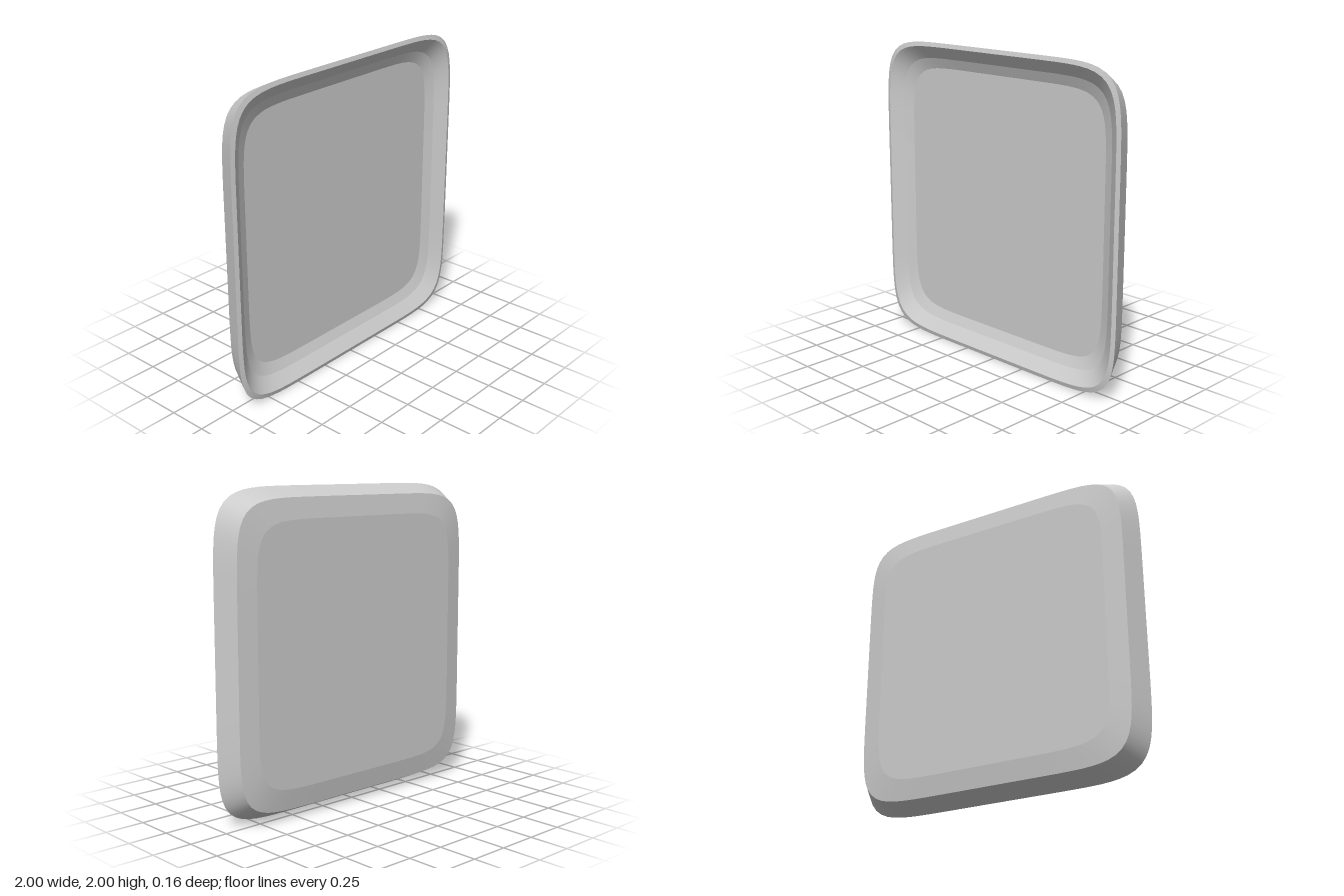
import * as THREE from 'three';

const SEGMENTS = 160;
const POWER = 8; // squareness of the rounded-square outline

// One closed rounded-square ring of points
function ring(half, z) {
  const pts = [];
  for (let i = 0; i < SEGMENTS; i++) {
    const a = (i / SEGMENTS) * Math.PI * 2;
    const c = Math.cos(a), s = Math.sin(a);
    const r = half / Math.pow(Math.abs(c) ** POWER + Math.abs(s) ** POWER, 1 / POWER);
    pts.push(r * c, r * s, z);
  }
  return pts;
}

// Band between two rings, smooth around the outline, crisp at its borders;
// a ring of size 0 closes the band to a flat panel
function band([h0, z0], [h1, z1]) {
  const index = [];
  for (let i = 0; i < SEGMENTS; i++) {
    const j = (i + 1) % SEGMENTS;
    const c = i + SEGMENTS, d = j + SEGMENTS;
    if (h0 > 0) index.push(i, d, j);
    if (h1 > 0) index.push(i, c, d);
  }
  const geo = new THREE.BufferGeometry();
  geo.setAttribute('position', new THREE.Float32BufferAttribute([...ring(h0, z0), ...ring(h1, z1)], 3));
  geo.setIndex(index);
  geo.computeVertexNormals();
  return geo;
}

export function createModel() {
  const group = new THREE.Group();
  group.name = 'tray';
  const grey = new THREE.MeshStandardMaterial({ color: 0xcccccc });
  grey.name = 'light grey';

  // Cross-section from the middle of the floor, over the rim, to the middle of the back
  const profile = [
    [0, -0.005], [0.83, -0.005], [0.895, 0.022], [0.973, 0.082],
    [1.0, 0.074], [0.937, -0.062], [0.81, -0.082], [0, -0.082],
  ];
  const names = ['floor', 'floorSlope', 'innerWall', 'rim', 'outerWall', 'backSlope', 'back'];
  names.forEach((name, i) => {
    const mesh = new THREE.Mesh(band(profile[i], profile[i + 1]), grey);
    mesh.name = name;
    mesh.position.y = 1;
    group.add(mesh);
  });
  return group;
}
